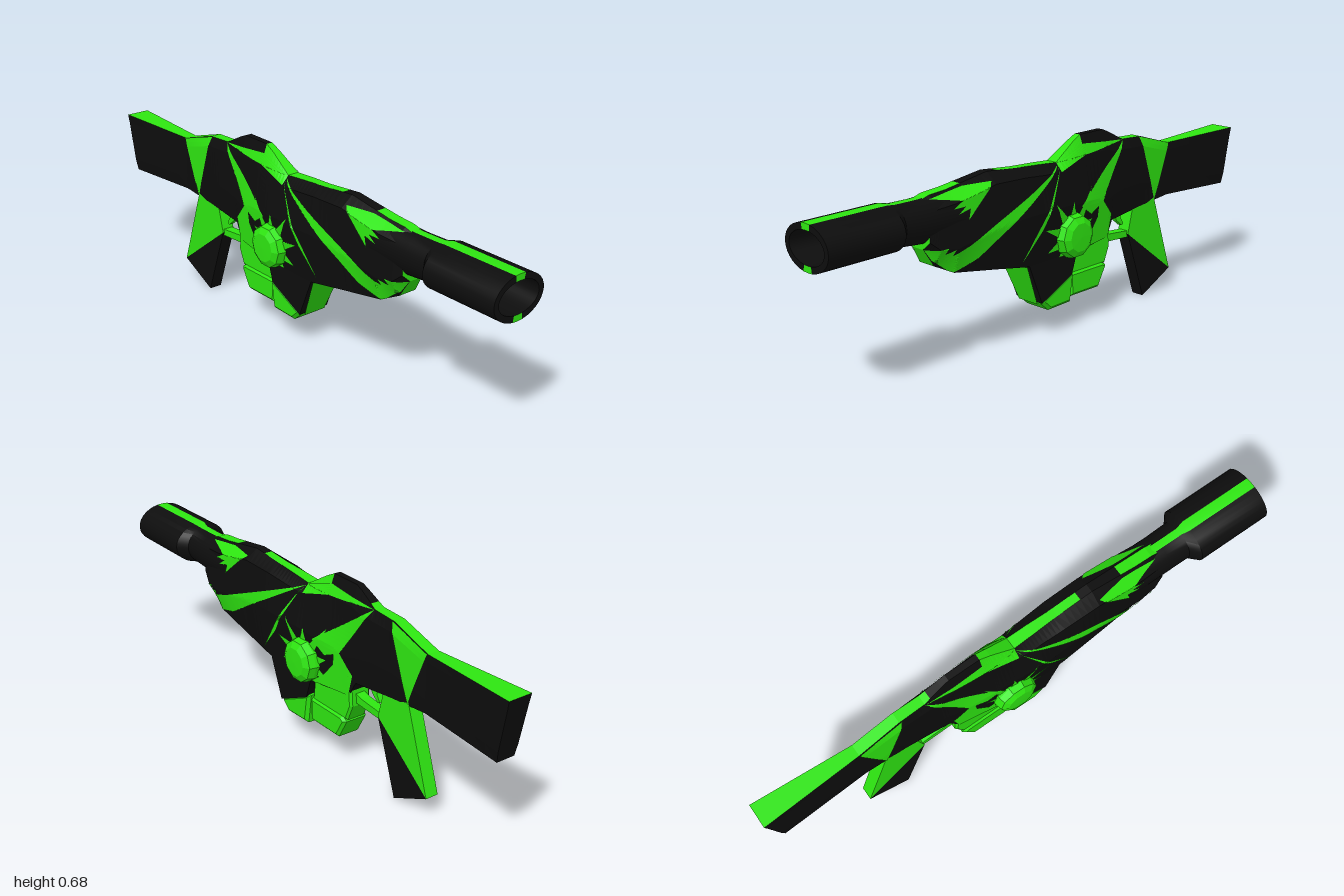
import * as THREE from 'three';
import { toCreasedNormals } from 'three/addons/utils/BufferGeometryUtils.js';

const make = (color, flat) => new THREE.MeshStandardMaterial({ color, flatShading: flat });
const GREEN = 0x2ee611, BLACK = 0x0d0d0d;
const mats = { green: make(GREEN, true), black: make(BLACK, true), greenSmooth: make(GREEN, false), blackSmooth: make(BLACK, false) };

// Body stations: z, heights (bottom, lower edge, upper edge, top), half widths at those heights, slant
const STATIONS = [
  [0.585, 0.43, 0.46, 0.55, 0.59, 0.025, 0.06, 0.055, 0.02, 0],
  [0.55, 0.37, 0.43, 0.56, 0.6, 0.035, 0.07, 0.06, 0.02, 0],
  [0.48, 0.335, 0.42, 0.565, 0.605, 0.05, 0.076, 0.064, 0.02, 0],
  [0.3, 0.305, 0.45, 0.595, 0.63, 0.058, 0.074, 0.062, 0.016, 0],
  [0.16, 0.28, 0.46, 0.59, 0.617, 0.063, 0.08, 0.06, 0.016, 0],
  [0.06, 0.28, 0.46, 0.58, 0.611, 0.063, 0.082, 0.055, 0.02, 0],
  [-0.02, 0.28, 0.46, 0.575, 0.605, 0.063, 0.077, 0.05, 0.022, 0],
  [-0.11, 0.28, 0.45, 0.6, 0.66, 0.06, 0.067, 0.042, 0.014, 0],
  [-0.15, 0.28, 0.45, 0.61, 0.68, 0.055, 0.062, 0.038, 0.012, 0],
  [-0.27, 0.29, 0.43, 0.61, 0.68, 0.04, 0.047, 0.034, 0.012, 0],
  [-0.3, 0.345, 0.44, 0.6, 0.667, 0.036, 0.043, 0.034, 0.013, 0],
  [-0.37, 0.35, 0.45, 0.595, 0.63, 0.03, 0.037, 0.033, 0.018, 0],
  [-0.47, 0.36, 0.45, 0.59, 0.625, 0.025, 0.03, 0.03, 0.02, 0],
  [-0.63, 0.374, 0.42, 0.55, 0.576, 0.023, 0.024, 0.024, 0.022, 0],
  [-1, 0.36, 0.4, 0.55, 0.58, 0.035, 0.04, 0.043, 0.045, 0.18],
];
const mix = (a, b, t) => a.map((v, k) => v + (b[k] - v) * t);

// Half width of the body at a point on its side
function bodyWidth(z, y) {
  let i = 0;
  while (i < STATIONS.length - 2 && z < STATIONS[i + 1][0]) i++;
  const a = STATIONS[i], b = STATIONS[i + 1];
  const s = mix(a, b, THREE.MathUtils.clamp((a[0] - z) / (a[0] - b[0]), 0, 1));
  const yc = THREE.MathUtils.clamp(y, s[1], s[4]);
  let k = 1;
  while (k < 3 && yc > s[k + 1]) k++;
  return [s[k + 4] + (s[k + 5] - s[k + 4]) * (yc - s[k]) / (s[k + 1] - s[k]), yc];
}

function addMesh(group, name, geometry, material) {
  const mesh = new THREE.Mesh(geometry, material);
  mesh.name = name;
  group.add(mesh);
  return mesh;
}

function fromPoints(points) {
  const g = new THREE.BufferGeometry();
  g.setAttribute('position', new THREE.Float32BufferAttribute(points.flat(), 3));
  g.computeVertexNormals();
  return g;
}

// Skin over rings running front to back, split into green and black faces
function loft(group, name, rings, isGreen, smooth) {
  const pos = { green: [], black: [] };
  for (let i = 0; i < rings.length - 1; i++) {
    const n = rings[i].length;
    for (let j = 0; j < n; j++) {
      const k = (j + 1) % n;
      const a = rings[i][j], b = rings[i][k], c = rings[i + 1][k], d = rings[i + 1][j];
      pos[isGreen(i, j, (a[2] + c[2]) / 2) ? 'green' : 'black'].push(a, d, b, b, d, c);
    }
  }
  for (const key of ['black', 'green']) {
    const g = fromPoints(pos[key]);
    addMesh(group, name + (key === 'green' ? 'Paint' : ''), smooth ? toCreasedNormals(g, 0.5) : g, mats[smooth ? key + 'Smooth' : key]);
  }
}

// Painted polygon in (z, y), laid over both sides of the body
function patch(group, name, pts, n = 14) {
  const v = pts.map(p => new THREE.Vector2(p[0], p[1]));
  const out = [];
  for (const side of [1, -1]) {
    const lift = (z, y) => { const [w, yc] = bodyWidth(z, y); return [side * (w + 0.003), yc, z]; };
    for (const [ia, ib, ic] of THREE.ShapeUtils.triangulateShape(v, [])) {
      let A = v[ia], B = v[ib], C = v[ic];
      const area = (B.x - A.x) * (C.y - A.y) - (B.y - A.y) * (C.x - A.x);
      if (area * side > 0) [B, C] = [C, B];
      const at = (i, j) => lift(A.x + ((B.x - A.x) * i + (C.x - A.x) * j) / n, A.y + ((B.y - A.y) * i + (C.y - A.y) * j) / n);
      for (let i = 0; i < n; i++) for (let j = 0; j < n - i; j++) {
        out.push(at(i, j), at(i + 1, j), at(i, j + 1));
        if (i + j < n - 1) out.push(at(i + 1, j), at(i + 1, j + 1), at(i, j + 1));
      }
    }
  }
  addMesh(group, name, fromPoints(out), mats.green);
}

// Slab with a (z, y) outline, centred on x = 0
function slab(group, name, pts, half, material, bevel = 0) {
  const shape = new THREE.Shape(pts.map(p => new THREE.Vector2(-p[0], p[1])));
  const g = new THREE.ExtrudeGeometry(shape, {
    depth: 2 * (half - bevel), bevelEnabled: bevel > 0, bevelSize: bevel, bevelThickness: bevel, bevelOffset: -bevel, bevelSegments: 1, curveSegments: 4,
  });
  g.translate(0, 0, -(half - bevel)).rotateY(Math.PI / 2);
  return addMesh(group, name, g, material);
}

export function createModel() {
  const model = new THREE.Group();
  model.name = 'paintedRifle';

  // Body and stock
  const bodyRings = [];
  const ring = ([z, y0, y1, y2, y3, w0, w1, w2, w3, slant]) => {
    const half = [[w0, y0], [w1, y1], [w2, y2], [w3, y3]];
    return [...half, ...half.map(([w, y]) => [-w, y]).reverse()].map(([x, y]) => [x, y, z + slant * (y3 - y)]);
  };
  const cap = (r) => r.map(() => [0, (r[0][1] + r[3][1]) / 2, (r[0][2] + r[3][2]) / 2]);
  STATIONS.forEach((s, i) => {
    if (i === STATIONS.length - 1) return bodyRings.push(ring(s));
    for (let k = 0; k < 6; k++) bodyRings.push(ring(mix(s, STATIONS[i + 1], k / 6)));
  });
  bodyRings.unshift(cap(bodyRings[0]));
  bodyRings.push(cap(bodyRings[bodyRings.length - 1]));
  const last = bodyRings.length - 2;
  loft(model, 'body', bodyRings, (i, j, z) => {
    if (i === 0) return true;
    if (i === last) return false;
    if (j === 7) return z > 0.16;
    if (j === 3) return z > 0.42 || (z < 0.25 && z > -0.15) || z < -0.35;
    return (j === 2 || j === 4) && z < -0.02 && z > -0.15;
  }, false);

  // Barrel with a hollow oval muzzle
  const oval = (z, rx, ry, cy) => Array.from({ length: 32 }, (_, j) => {
    const a = Math.PI / 2 + j * Math.PI / 16;
    return [rx * Math.cos(a), cy + ry * Math.sin(a), z];
  });
  const barrel = [
    [0.86, 0, 0, 0.525], [0.86, 0.086, 0.054, 0.525], [1, 0.086, 0.054, 0.525], [1, 0.106, 0.076, 0.525],
    [0.715, 0.106, 0.076, 0.525], [0.685, 0.072, 0.07, 0.525], [0.6, 0.07, 0.074, 0.52], [0.44, 0.07, 0.08, 0.52],
  ].map(r => oval(...r));
  loft(model, 'barrel', barrel, (i, j) => i > 1 && [0, 31, 15, 16].includes(j), true);

  // Camouflage shards on both sides
  patch(model, 'foreWedge', [[0.585, 0.43], [0.56, 0.39], [0.49, 0.336], [0.39, 0.365], [-0.02, 0.6], [0.43, 0.42], [0.5, 0.4], [0.49, 0.42], [0.53, 0.41], [0.52, 0.43]]);
  patch(model, 'foreShard', [[0.56, 0.59], [0.42, 0.607], [0.31, 0.606], [0.43, 0.505], [0.42, 0.54], [0.47, 0.53], [0.44, 0.55], [0.49, 0.55], [0.45, 0.57]]);
  patch(model, 'thinShard', [[-0.02, 0.6], [0.19, 0.3], [0.1, 0.4]]);
  patch(model, 'midShard', [[-0.37, 0.63], [-0.1, 0.44], [-0.16, 0.4], [-0.23, 0.43]]);
  patch(model, 'humpShard', [[-0.02, 0.605], [-0.15, 0.65], [-0.37, 0.63], [-0.2, 0.615]]);
  patch(model, 'stockShard', [[-0.46, 0.625], [-0.63, 0.576], [-0.55, 0.37]]);
  patch(model, 'rearShard', [[-0.29, 0.37], [-0.27, 0.29], [-0.09, 0.28], [-0.15, 0.32], [-0.2, 0.38], [-0.21, 0.46]]);

  // Side drums with painted starbursts
  const hubZ = -0.055, hubY = 0.347;
  const spikes = [0.16, 0.12, 0.19, 0.12, 0.14, 0.13, 0.12, 0.14, 0.13, 0.15];
  spikes.forEach((r, i) => {
    const a = Math.PI / 2 - 0.62 + i * Math.PI / 5, at = (t, q) => [hubZ + Math.cos(t) * q, hubY + Math.sin(t) * q];
    patch(model, 'starSpike', [at(a - 0.25, 0.07), at(a, r), at(a + 0.25, 0.07)], 8);
  });
  for (const side of [1, -1]) {
    const profile = [[0.082, 0], [0.08, 0.075], [0.074, 0.098], [0.052, 0.111], [0, 0.112]].map(p => new THREE.Vector2(...p));
    const drum = addMesh(model, side > 0 ? 'leftDrum' : 'rightDrum', new THREE.LatheGeometry(profile, 10), mats.green);
    drum.rotation.z = -side * Math.PI / 2;
    drum.position.set(0, hubY, hubZ);
  }

  // Magazine: dark upper half, painted tapered front and foot
  slab(model, 'magazine', [[0.155, 0.29], [0.09, 0.13], [-0.06, 0.2], [-0.09, 0.29]], 0.062, mats.black);
  slab(model, 'magazineFoot', [[0.09, 0.14], [0.085, 0.125], [0.05, 0.094], [-0.06, 0.097], [-0.075, 0.21], [-0.06, 0.21]], 0.063, mats.green, 0.012);
  addMesh(model, 'magazineFront', fromPoints([
    [-0.063, 0.28, 0.162], [-0.045, 0.125, 0.096], [0.063, 0.28, 0.162],
    [0.063, 0.28, 0.162], [-0.045, 0.125, 0.096], [0.045, 0.125, 0.096],
  ]), mats.green);

  // Rear pouch and its neck
  slab(model, 'rearPouch', [[-0.065, 0.2], [-0.07, 0.11], [-0.22, 0.11], [-0.262, 0.185], [-0.24, 0.2]], 0.05, mats.green, 0.01);
  slab(model, 'rearPouchNeck', [[-0.08, 0.3], [-0.07, 0.19], [-0.26, 0.19], [-0.285, 0.25], [-0.28, 0.31]], 0.042, mats.green, 0.008);

  // Trigger guard and trigger
  slab(model, 'triggerGuard', [[-0.26, 0.3], [-0.27, 0.26], [-0.43, 0.25], [-0.42, 0.275], [-0.31, 0.285]], 0.018, mats.green);
  slab(model, 'trigger', [[-0.34, 0.36], [-0.355, 0.325], [-0.385, 0.3], [-0.395, 0.305], [-0.38, 0.33], [-0.375, 0.36]], 0.01, mats.green);

  // Grip
  slab(model, 'gripUpper', [[-0.55, 0.385], [-0.43, 0.365], [-0.405, 0.265], [-0.655, 0.075]], 0.0245, mats.green);
  slab(model, 'gripLower', [[-0.405, 0.265], [-0.655, 0.075], [-0.498, 0]], 0.0245, mats.black);
  return model;
}
